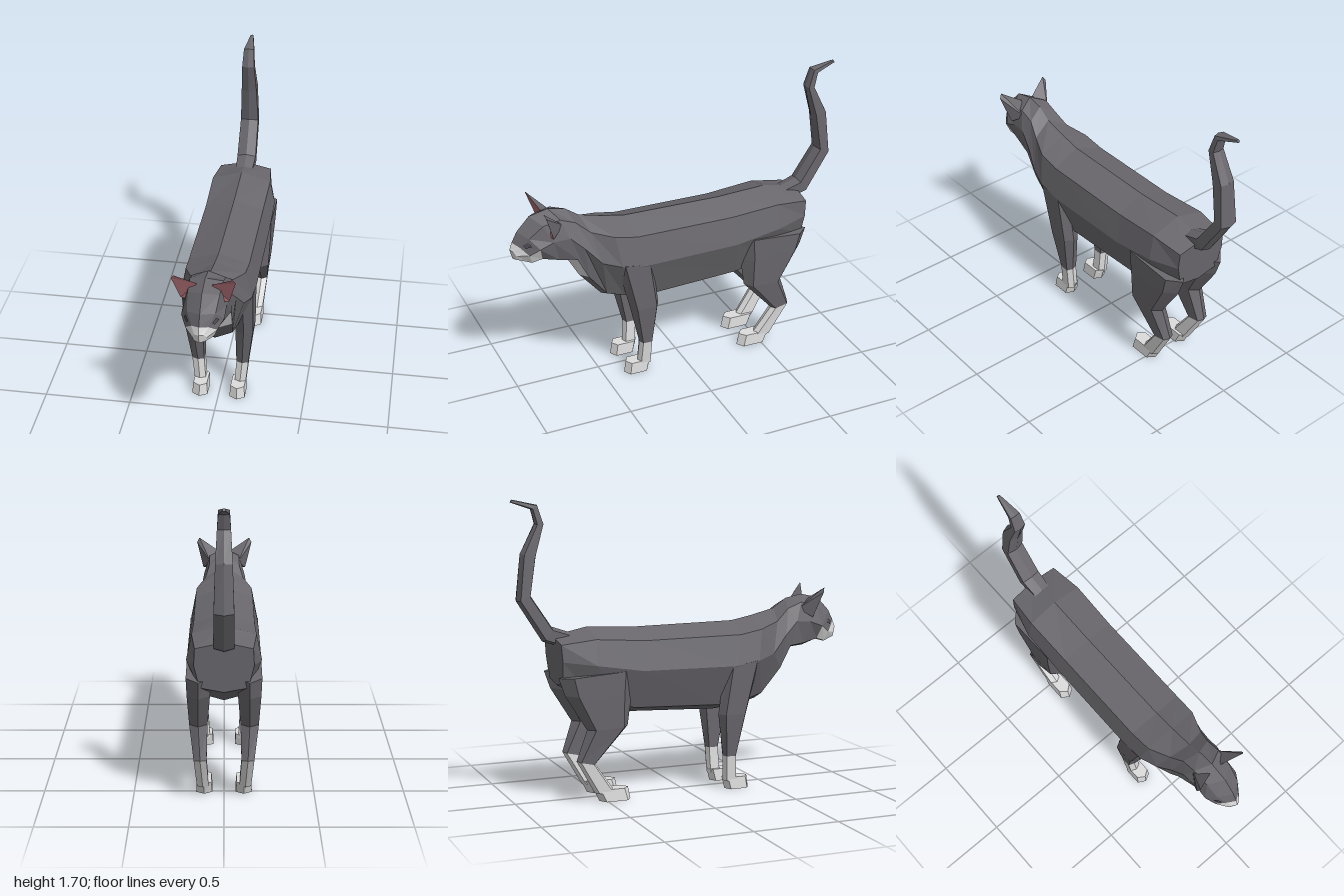
import * as THREE from 'three';

const mats = {};
for (const [name, hex] of [['greyFur', 0x69676c], ['whiteFur', 0xdcdcdc], ['pinkSkin', 0xa4686f], ['darkEye', 0x505057]]) {
  mats[name] = new THREE.MeshStandardMaterial({ color: hex });
  mats[name].name = name;
}

// Collects faces by colour and turns them into faceted meshes.
class Faces {
  constructor() { this.lists = {}; }
  poly(colour, pts, flip = false) {
    const list = (this.lists[colour] ??= []);
    for (let k = 1; k < pts.length - 1; k++) {
      const t = flip ? [pts[0], pts[k + 1], pts[k]] : [pts[0], pts[k], pts[k + 1]];
      t.forEach((p) => list.push(...p));
    }
  }
  addTo(group, name) {
    const part = new THREE.Group();
    part.name = name;
    for (const [colour, list] of Object.entries(this.lists)) {
      const geo = new THREE.BufferGeometry();
      geo.setAttribute('position', new THREE.Float32BufferAttribute(list, 3));
      geo.computeVertexNormals();
      const mesh = new THREE.Mesh(geo, mats[colour]);
      mesh.name = `${name} ${colour}`;
      part.add(mesh);
    }
    group.add(part);
  }
}

// Skins a row of rings; colourOf(i, j) picks the colour of each quad.
function loft(faces, rings, colourOf, startColour, endColour) {
  const n = rings[0].length;
  for (let i = 0; i < rings.length - 1; i++) {
    for (let j = 0; j < n; j++) {
      const k = (j + 1) % n;
      faces.poly(colourOf(i, j), [rings[i][j], rings[i][k], rings[i + 1][k], rings[i + 1][j]]);
    }
  }
  if (startColour) faces.poly(startColour, rings[0], true);
  if (endColour) faces.poly(endColour, rings.at(-1));
}

// Body sections, nose to rump: spine y, z; belly y, z; half width at back, flank, belly.
const SECTIONS = [
  [.90, 1.0, .84, .985, .025, .04, .03],
  [.94, .985, .815, .92, .045, .085, .065],
  [1.0, .955, .83, .87, .075, .115, .08],
  [1.08, .88, .80, .78, .085, .115, .095],
  [1.105, .77, .79, .68, .09, .125, .12],
  [1.085, .67, .65, .60, .09, .14, .115],
  [1.03, .59, .50, .47, .115, .17, .10],
  [.995, .45, .47, .36, .165, .20, .11],
  [.97, .32, .455, .20, .17, .205, .13],
  [.965, -.27, .48, -.34, .17, .205, .13],
  [.98, -.57, .56, -.58, .175, .205, .13],
  [.94, -.77, .66, -.75, .155, .16, .13],
];

// Eight-sided ring along the spine-to-belly line; the head bows back at the sides.
function bodyRing([yT, zT, yB, zB, xBack, xFlank, xBelly]) {
  const bow = 0.5 * THREE.MathUtils.clamp((zT - 0.5) / 0.4, 0, 1);
  const at = (x, t) => [x, yT + (yB - yT) * t, zT + (zB - zT) * t - bow * Math.abs(x)];
  const half = [at(xBack, .12), at(xFlank, .46), at(xBelly, .91)];
  const mirrored = half.map(([x, y, z]) => [-x, y, z]).reverse();
  return [at(0, 0), ...half, at(0, 1), ...mirrored];
}

// Six-sided limb ring with a ridge at the front and the back.
function limbRing([yf, zf, yb, zb, x0, x1]) {
  const at = (x, t) => [x, yb + (yf - yb) * t, zb + (zf - zb) * t];
  const xm = (x0 + x1) / 2;
  return [at(x0, .16), at(xm, 0), at(x1, .16), at(x1, .84), at(xm, 1), at(x0, .84)];
}

// Limb rings: front edge y, z; back edge y, z; inner x, outer x.
const FRONT_LEG = {
  upper: [[.76, .43, .73, .21, .10, .203], [.45, .35, .45, .175, .095, .195], [.20, .29, .20, .21, .095, .165]],
  ankle: [.05, .30, .05, .215, .085, .15],
  paw: [[.07, .37, .07, .212, .07, .15], [0, .38, 0, .23, .065, .155]],
};
const BACK_LEG = {
  upper: [[.75, -.34, .72, -.78, .07, .204], [.60, -.355, .62, -.745, .075, .20],
    [.43, -.38, .42, -.62, .09, .19], [.22, -.57, .245, -.68, .095, .165]],
  ankle: [.05, -.45, .05, -.57, .085, .15],
  paw: [[.07, -.37, .07, -.575, .07, .15], [0, -.355, 0, -.54, .065, .155]],
};

// Tail rings from tip to root: upper edge y, z; lower edge y, z; half width.
const TAIL = [
  [1.695, -.99, 1.68, -1.0, .008], [1.665, -.85, 1.64, -.885, .03],
  [1.56, -.815, 1.56, -.865, .036], [1.38, -.86, 1.40, -.95, .045],
  [1.17, -.895, 1.14, -.975, .053], [.99, -.775, .91, -.83, .056],
  [.95, -.66, .88, -.74, .05],
];

function addLeg(group, name, { upper, ankle, paw }, side) {
  const rings = (rows) => rows.map(([a, b, c, d, x0, x1]) =>
    limbRing(side > 0 ? [a, b, c, d, x0, x1] : [a, b, c, d, -x1, -x0]));
  const faces = new Faces();
  loft(faces, rings(upper), () => 'greyFur', 'greyFur');
  loft(faces, rings([upper.at(-1), ankle]), () => 'whiteFur');
  loft(faces, rings(paw), () => 'whiteFur', 'whiteFur', 'pinkSkin');
  faces.addTo(group, name);
}

export function createModel() {
  const cat = new THREE.Group();
  cat.name = 'cat';

  // Head and body in one skin, with white muzzle and chest patch
  const body = new Faces();
  const rings = SECTIONS.map(bodyRing);
  loft(body, rings, (i, j) => {
    const band = Math.min(j, 7 - j);
    const white = i === 0 || (i === 1 && band >= 2) || (i === 4 && band === 3);
    return white ? 'whiteFur' : 'greyFur';
  }, 'whiteFur', 'greyFur');
  body.addTo(cat, 'headAndBody');

  // Tail
  const tail = new Faces();
  const tailRings = TAIL.map(([yf, zf, yb, zb, w]) => limbRing([yf, zf, yb, zb, -w, w]));
  loft(tail, tailRings, () => 'greyFur', 'greyFur', 'greyFur');
  tail.addTo(cat, 'tail');

  for (const side of [1, -1]) {
    const label = side > 0 ? 'left' : 'right';
    const mirror = ([x, y, z]) => [x * side, y, z];
    const flip = side < 0;
    addLeg(cat, `${label}FrontLeg`, FRONT_LEG, side);
    addLeg(cat, `${label}BackLeg`, BACK_LEG, side);

    // Ear: pink front, grey back
    const ear = new Faces();
    const rim = [[.04, 1.085, .80], [.085, .98, .80], [.13, .98, .785], [.17, 1.13, .835], [.155, 1.155, .845]].map(mirror);
    const back = mirror([.085, 1.03, .71]);
    ear.poly('pinkSkin', rim, flip);
    rim.forEach((p, k) => ear.poly('greyFur', [rim[(k + 1) % rim.length], p, back], flip));
    ear.addTo(cat, `${label}Ear`);

    // Eye: thin plate lying on the cheek facet
    const onCheek = (u, v) => {
      const along = (j) => new THREE.Vector3(...rings[1][j]).lerp(new THREE.Vector3(...rings[2][j]), u);
      const p = along(1).lerp(along(2), v).add(new THREE.Vector3(.004, .003, .006));
      return mirror(p.toArray());
    };
    const eye = new Faces();
    eye.poly('darkEye', [onCheek(.35, .1), onCheek(.3, .4), onCheek(.75, .55), onCheek(.8, .2)], flip);
    eye.addTo(cat, `${label}Eye`);
  }
  return cat;
}
